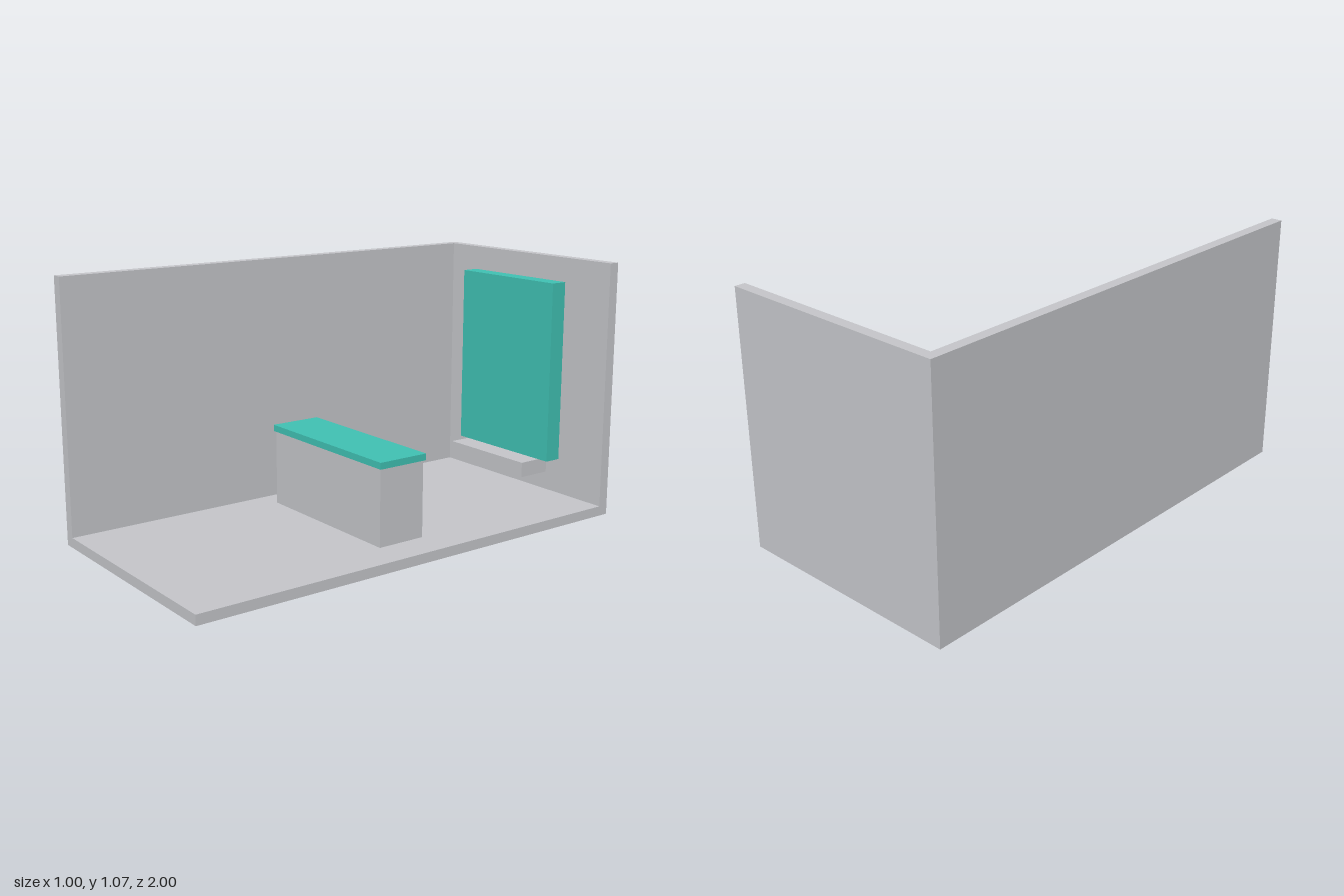
import * as THREE from 'three';

export function createModel() {
  const group = new THREE.Group();
  group.name = 'receptionBooth';
  const grey = new THREE.MeshStandardMaterial({ color: 0xc5c6ca });
  grey.name = 'light grey';
  const teal = new THREE.MeshStandardMaterial({ color: 0x40c1b3 });
  teal.name = 'teal';

  // Box given by its extents along each axis
  function box(name, material, [x0, x1], [y0, y1], [z0, z1]) {
    const mesh = new THREE.Mesh(new THREE.BoxGeometry(x1 - x0, y1 - y0, z1 - z0), material);
    mesh.position.set((x0 + x1) / 2, (y0 + y1) / 2, (z0 + z1) / 2);
    mesh.name = name;
    group.add(mesh);
  }

  // Room shell: floor, back wall and one side wall, butted without overlap
  const floorTop = 0.041, wallTop = 1.068, sideInner = -0.455, backInner = -0.956;
  box('floor', grey, [-0.5, 0.5], [0, floorTop], [-1, 1]);
  box('sideWall', grey, [-0.5, sideInner], [floorTop, wallTop], [-1, 1]);
  box('backWall', grey, [sideInner, 0.5], [floorTop, wallTop], [-1, backInner]);

  // Counter in the middle of the floor
  box('counterBase', grey, [-0.356, 0.353], [floorTop, 0.355], [-0.105, 0.105]);
  box('counterTop', teal, [-0.365, 0.362], [0.355, 0.382], [-0.111, 0.111]);

  // Upright panel on its ledge, in front of the back wall
  box('panelLedge', grey, [-0.226, 0.224], [0.137, 0.201], [-0.912, -0.766]);
  box('displayPanel', teal, [-0.276, 0.274], [0.201, 0.969], [-0.935, -0.863]);

  return group;
}
